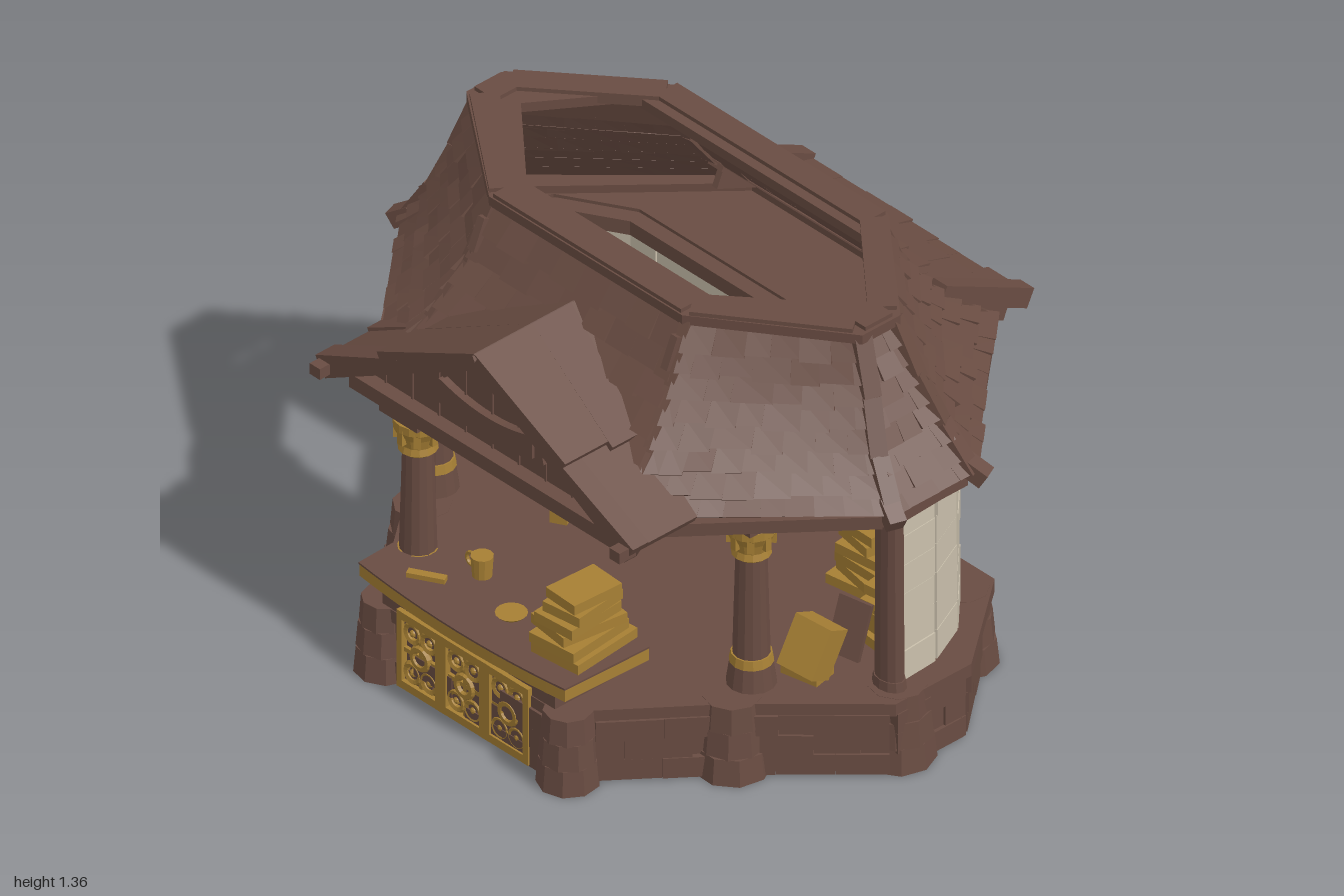
import * as THREE from 'three';
import { mergeGeometries } from 'three/addons/utils/BufferGeometryUtils.js';

const V = (x, y, z) => new THREE.Vector3(x, y, z);
const mat = (name, color) => new THREE.MeshStandardMaterial({ name, color, flatShading: true, side: THREE.DoubleSide });

export function createModel() {
  const root = new THREE.Group();
  root.name = 'shopHouse';
  const brown = mat('brownWood', 0x694c42), stone = mat('paleStone', 0xcac0ac), gold = mat('oldGold', 0xa67f34);
  let seed = 7;
  const rnd = () => (seed = (seed * 16807) % 2147483647) / 2147483647;
  const add = (name, geo, m, x = 0, y = 0, z = 0, parent = root) => {
    const o = new THREE.Mesh(geo, m);
    o.name = name;
    o.position.set(x, y, z);
    parent.add(o);
    return o;
  };
  const box = (name, m, w, h, d, x, y, z, ry = 0, parent = root) => {
    const o = add(name, new THREE.BoxGeometry(w, h, d), m, x, y, z, parent);
    o.rotation.y = ry;
    return o;
  };
  const beam = (name, m, a, b, w, h) => {
    const o = add(name, new THREE.BoxGeometry(w, h, a.distanceTo(b)), m);
    o.position.copy(a).add(b).multiplyScalar(0.5);
    o.lookAt(b);
    return o;
  };
  // Symmetric plan outline from its +x half, listed front to back
  const mirror = half => [...half, ...half.map(([x, z]) => [-x, z]).reverse()];
  const flat = pts => pts.map(([x, z]) => new THREE.Vector2(x, -z));
  const shapeOf = (pts, hole) => {
    const s = new THREE.Shape(flat(pts));
    if (hole) s.holes.push(new THREE.Path(flat(hole)));
    return s;
  };
  const plan = (name, m, shape, y0, y1) => {
    const g = new THREE.ExtrudeGeometry(shape, { depth: y1 - y0, bevelEnabled: false });
    return add(name, g.rotateX(-Math.PI / 2), m, 0, y0, 0);
  };
  // Courses of staggered blocks along a plan path
  const blocks = (name, m, path, y0, y1, rows, len, thick, rough) => {
    const geos = [], h = (y1 - y0) / rows;
    for (let s = 0; s < path.length - 1; s++) {
      const [ax, az] = path[s], [bx, bz] = path[s + 1];
      const L = Math.hypot(bx - ax, bz - az), n = Math.max(1, Math.round(L / len));
      for (let r = 0; r < rows; r++) {
        const cuts = [0];
        for (let k = 1; k <= n; k++) {
          const c = (k - (r % 2 && n > 1 ? 0.5 : 0) + (rnd() - 0.5) * 0.25) / n;
          if (c < 0.97) cuts.push(c);
        }
        cuts.push(1);
        for (let k = 0; k < cuts.length - 1; k++) {
          const u = (cuts[k] + cuts[k + 1]) / 2;
          const g = new THREE.BoxGeometry((cuts[k + 1] - cuts[k]) * L - 0.001, h - 0.001, thick + rnd() * rough);
          g.rotateY(-Math.atan2(bz - az, bx - ax));
          geos.push(g.translate(ax + (bx - ax) * u, y0 + (r + 0.5) * h, az + (bz - az) * u));
        }
      }
    }
    add(name, mergeGeometries(geos), m);
  };

  // Stone platform
  const baseHalf = [[0.3, 0.77], [0.4, 0.7], [0.62, 0.42], [0.92, 0.1], [0.92, -0.16], [0.68, -0.45]];
  const basePlan = mirror(baseHalf);
  plan('platformCore', brown, shapeOf(basePlan), 0, 0.2);
  blocks('platformStones', brown, [...basePlan, basePlan[0]], 0.005, 0.2, 3, 0.16, 0.025, 0.04);
  const lip = shapeOf(basePlan.map(([x, z]) => [x * 1.03, z > 0 ? z * 1.03 : z * 1.09]));
  plan('floorSlab', brown, lip, 0.195, 0.235);
  for (const s of [-1, 1]) {
    for (const [x, z, r] of [[0.36, 0.76, 0.09], [0.61, 0.39, 0.11], [0.875, 0.03, 0.11], [0.67, -0.4, 0.1]]) {
      for (let i = 0; i < 3; i++) {
        const k = r * (1 - i * 0.09) * (0.97 + rnd() * 0.06);
        const p = add('platformPier', new THREE.CylinderGeometry(k * 0.92, k, 0.08, 9), brown, s * x, 0.04 + i * 0.078, z);
        p.rotation.y = rnd();
      }
    }
  }

  // Pale stone wall around the back
  const wallHalf = [[0.85, 0.03], [0.84, -0.11], [0.78, -0.24], [0.69, -0.33], [0.57, -0.37]];
  const wallPath = mirror(wallHalf);
  blocks('wallCore', stone, wallPath, 0.23, 0.8, 1, 2, 0.048, 0);
  blocks('wallBricks', stone, wallPath, 0.235, 0.8, 6, 0.17, 0.056, 0.01);

  // Columns with gold capitals and bands
  const column = (x, z, y0) => {
    const g = new THREE.Group();
    g.name = 'column';
    g.position.set(x, 0, z);
    root.add(g);
    add('shaft', new THREE.CylinderGeometry(0.04, 0.055, 0.8 - y0, 14), brown, 0, (0.8 + y0) / 2, 0, g);
    add('foot', new THREE.CylinderGeometry(0.06, 0.07, 0.07, 14), brown, 0, y0 + 0.035, 0, g);
    add('goldBand', new THREE.CylinderGeometry(0.057, 0.062, 0.028, 14), gold, 0, y0 + 0.085, 0, g);
    const prof = [[0.044, 0.65], [0.056, 0.66], [0.05, 0.68], [0.058, 0.71], [0.07, 0.735], [0.07, 0.76], [0.04, 0.77]];
    add('goldCapital', new THREE.LatheGeometry(prof.map(p => new THREE.Vector2(...p)), 14), gold, 0, 0, 0, g);
    for (let i = 0; i < 8; i++) {
      const a = i * Math.PI / 4;
      box('capitalLeaf', gold, 0.02, 0.05, 0.02, Math.sin(a) * 0.058, 0.72, Math.cos(a) * 0.058, a, g);
    }
    box('capitalBlock', brown, 0.15, 0.05, 0.15, 0, 0.8, 0, 0, g);
  };
  column(-0.65, 0.31, 0.235);
  column(0.6, 0.31, 0.235);
  column(-0.37, 0.63, 0.235);
  for (const s of [-1, 1]) {
    add('wallPost', new THREE.CylinderGeometry(0.045, 0.048, 0.56, 12), brown, s * 0.865, 0.51, 0.05).scale.z = 0.7;
    add('postFoot', new THREE.CylinderGeometry(0.052, 0.056, 0.03, 12), brown, s * 0.865, 0.25, 0.05).scale.z = 0.7;
  }

  // Lintel ring over the columns, eave ring above it and the soffit between
  const ring = (name, half, y, w, h) => {
    const p = mirror(half);
    p.forEach(([x, z], i) => {
      const [X, Z] = p[(i + 1) % p.length];
      beam(name, brown, V(x, y, z), V(X, y, Z), w, h);
    });
  };
  const lintel = [[0.37, 0.63], [0.62, 0.33], [0.87, 0.06], [0.86, -0.12], [0.79, -0.26], [0.58, -0.38]];
  const eave = [[0.46, 0.69], [0.92, 0.13], [0.92, -0.16], [0.45, -0.69]];
  ring('lintel', lintel, 0.81, 0.09, 0.045);
  ring('eaveBeam', eave, 0.85, 0.06, 0.04);
  plan('soffit', brown, shapeOf(mirror([...eave, [0.42, -0.79]]), mirror(lintel)), 0.835, 0.845);

  // Shingled panel between two edge lines that run from top to eave
  const at = (P, t) => {
    const f = Math.min(t, 1) * (P.length - 1), i = Math.min(Math.floor(f), P.length - 2);
    return P[i].clone().lerp(P[i + 1], f - i);
  };
  const panel = (name, P, Q, rows, tileW) => {
    const pos = [], quad = (a, b, c, d) => [a, b, c, a, c, d].forEach(p => pos.push(p.x, p.y, p.z));
    for (let r = 0; r < rows; r++) {
      const t0 = r / rows, t1 = (r + 1) / rows;
      const n = Math.max(1, Math.round(at(P, t1).distanceTo(at(Q, t1)) / tileW));
      const cuts = [0];
      for (let k = 1; k <= n; k++) {
        const c = (k - (r % 2 && n > 1 ? 0.5 : 0) + (rnd() - 0.5) * 0.3) / n;
        if (c < 0.96) cuts.push(c);
      }
      cuts.push(1);
      for (let k = 0; k < cuts.length - 1; k++) {
        const low = Math.min(1, t1 + (0.05 + rnd() * 0.25) / rows);
        const pt = (u, t) => at(P, t).lerp(at(Q, t), u);
        const c = [pt(cuts[k], t0), pt(cuts[k + 1], t0), pt(cuts[k + 1], low), pt(cuts[k], low)];
        const nrm = c[2].clone().sub(c[0]).cross(c[3].clone().sub(c[1])).normalize();
        if (nrm.y < 0) nrm.negate();
        const h = 0.018 + rnd() * 0.014;
        const T = c.map((p, i) => p.clone().addScaledVector(nrm, i < 2 ? 0.004 : h));
        quad(...T);
        quad(...c);
        for (let i = 0; i < 4; i++) quad(c[i], c[(i + 1) % 4], T[(i + 1) % 4], T[i]);
      }
    }
    const g = new THREE.BufferGeometry();
    g.setAttribute('position', new THREE.Float32BufferAttribute(pos, 3));
    g.computeVertexNormals();
    add(name, g, brown);
  };
  const line = (s, pts) => pts.map(([x, y, z]) => V(s * x, y, z));
  const frontHip = [[0.38, 1.32, 0.34], [0.4, 1.15, 0.42], [0.43, 1.0, 0.53], [0.47, 0.87, 0.67]];
  const sideF = [[0.75, 1.32, 0.05], [0.81, 1.16, 0.07], [0.87, 1.01, 0.1], [0.955, 0.87, 0.125]];
  const sideB = sideF.map(([x, y, z]) => [x, y, -z * 1.3]);
  const backHip = [[0.4, 1.32, -0.35], [0.42, 1.16, -0.41], [0.44, 1.02, -0.52], [0.45, 0.86, -0.71]];
  const shed = [[0.4, 1.32, -0.35], [0.42, 1.16, -0.41], [0.43, 1.03, -0.5], [0.43, 0.96, -0.63], [0.43, 0.85, -0.84]];
  panel('frontRoof', line(-1, frontHip), line(1, frontHip), 7, 0.1);
  panel('backRoof', line(-1, shed), line(1, shed), 8, 0.1);
  const cap = (pts, w, h) => {
    for (let i = 0; i < pts.length - 1; i++) beam('hipCap', brown, pts[i], pts[i + 1], w, h);
  };
  for (const s of [-1, 1]) {
    panel('frontHipRoof', line(s, frontHip), line(s, sideF), 8, 0.085);
    panel('sideRoof', line(s, sideF), line(s, sideB), 8, 0.085);
    panel('backHipRoof', line(s, sideB), line(s, backHip), 8, 0.085);
    for (const p of [sideF, sideB]) cap(line(s, p), 0.05, 0.05);
    for (const p of [frontHip, backHip]) cap(line(s, p), 0.03, 0.03);
    beam('shedEdge', brown, V(s * 0.43, 1.02, -0.53), V(s * 0.43, 0.86, -0.85), 0.055, 0.06);
    beam('shedCheek', brown, V(s * 0.43, 0.96, -0.53), V(s * 0.43, 0.85, -0.78), 0.02, 0.07);
    beam('eaveTip', brown, V(s * 0.93, 0.9, -0.16), V(s * 0.99, 0.86, -0.19), 0.05, 0.05);
    beam('eaveTip', brown, V(s * 0.93, 0.9, 0.12), V(s * 0.99, 0.86, 0.14), 0.05, 0.05);
    box('roofPeg', brown, 0.025, 0.1, 0.03, s * 0.38, 1.24, 0.395).rotation.x = -0.4;
  }
  box('shedBeam', brown, 0.84, 0.035, 0.05, 0, 0.85, -0.765);

  // Open rim at the top of the roof
  const rim = mirror([[0.38, 0.36], [0.78, 0.07], [0.78, -0.07], [0.41, -0.37]]);
  plan('roofRim', brown, shapeOf(rim, mirror([[0.36, 0.24], [0.64, 0], [0.47, -0.25]])), 1.315, 1.345);
  ring('rimCap', [[0.37, 0.315], [0.73, 0.05], [0.73, -0.05], [0.41, -0.32]], 1.34, 0.08, 0.035);

  // Front gable
  const tri = new THREE.Shape([[-0.56, 0.87], [0.56, 0.87], [0, 1.19]].map(p => new THREE.Vector2(...p)));
  add('gableWall', new THREE.ExtrudeGeometry(tri, { depth: 0.03, bevelEnabled: false }), brown, 0, 0, 0.67);
  box('gableTie', brown, 1.04, 0.045, 0.09, 0, 0.855, 0.7);
  const gableFront = [[0, 1.215, 0.77], [0.305, 1.04, 0.77], [0.61, 0.868, 0.77]];
  const gableBack = [[0, 1.215, 0.39], [0.305, 1.04, 0.48], [0.61, 0.868, 0.53]];
  for (const s of [-1, 1]) {
    panel('gableRoof', line(s, gableFront), line(s, gableBack), 2, 0.13);
    beam('gableBoard', brown, V(0, 1.19, 0.745), V(s * 0.6, 0.855, 0.745), 0.045, 0.045);
    box('gableEnd', brown, 0.04, 0.035, 0.06, s * 0.59, 0.875, 0.775);
    box('bannerTail', brown, 0.035, 0.075, 0.02, s * 0.19, 0.97, 0.705).rotation.z = s * 0.2;
  }
  for (let i = -4; i <= 4; i++) box('gablePlank', brown, 0.006, 0.29 - Math.abs(i) * 0.06, 0.006, i * 0.105, 1.015 - Math.abs(i) * 0.03, 0.702);
  const ribbon = new THREE.Shape();
  ribbon.moveTo(-0.18, 1.02).quadraticCurveTo(0, 0.96, 0.18, 1.02).lineTo(0.18, 0.945).quadraticCurveTo(0, 0.885, -0.18, 0.945);
  add('banner', new THREE.ExtrudeGeometry(ribbon, { depth: 0.025, bevelEnabled: false }), brown, 0, 0, 0.7);

  // Counter with a gold edge
  const top = k => {
    const s = new THREE.Shape();
    s.moveTo(-0.43 * k, -0.5).lineTo(0.4 * k, -0.5).lineTo(0.39 * k, -0.8 * k);
    s.quadraticCurveTo(0, -0.85 * k, -0.42 * k, -0.8 * k);
    return s;
  };
  box('counterBody', brown, 0.68, 0.06, 0.28, 0, 0.262, 0.65);
  plan('counterEdge', gold, top(1), 0.29, 0.328);
  plan('counterTop', brown, top(1.002), 0.328, 0.334);

  // Three gold grilles under the counter
  box('grilleBack', brown, 0.54, 0.25, 0.04, -0.01, 0.135, 0.765);
  for (let i = -1; i <= 1; i++) {
    const x = -0.01 + i * 0.173;
    for (const s of [-1, 1]) {
      box('grilleRail', gold, 0.17, 0.025, 0.03, x, 0.135 + s * 0.112, 0.79);
      box('grilleStile', gold, 0.02, 0.25, 0.03, x + s * 0.076, 0.135, 0.79);
      for (const t of [-1, 1]) {
        add('grilleScroll', new THREE.TorusGeometry(0.028, 0.01, 5, 14), gold, x + s * 0.033, 0.135 + t * 0.065, 0.79);
        add('scrollBud', new THREE.SphereGeometry(0.012, 8, 6), gold, x + s * 0.033, 0.135 + t * 0.065, 0.79);
      }
    }
    add('grilleRosette', new THREE.TorusGeometry(0.03, 0.012, 6, 16), gold, x, 0.135, 0.793);
    box('grilleBar', gold, 0.014, 0.22, 0.015, x, 0.135, 0.788);
    box('grilleBar', gold, 0.15, 0.014, 0.015, x, 0.135, 0.788);
  }

  // Round door in the back wall
  const disc = new THREE.CylinderGeometry(0.215, 0.215, 0.03, 32).rotateX(Math.PI / 2);
  add('roundDoor', disc, brown, 0.03, 0.49, -0.325);
  add('doorFrame', new THREE.TorusGeometry(0.215, 0.022, 6, 32), brown, 0.03, 0.49, -0.315);
  for (let i = -2; i <= 2; i++) box('doorPlank', brown, 0.006, 0.38 - Math.abs(i) * 0.05, 0.006, 0.03 + i * 0.07, 0.49, -0.308);
  add('doorRing', new THREE.TorusGeometry(0.062, 0.022, 8, 24), gold, 0.03, 0.47, -0.3);
  box('wallPicture', brown, 0.09, 0.2, 0.02, 0.51, 0.63, -0.325);

  // Goods: stacks of gold slabs, crates and small items
  const stack = (x, y, z, n, w, d, turn = 0.4) => {
    for (let i = 0; i < n; i++) {
      const k = 1 - i * 0.06;
      box('goldStack', gold, w * k, 0.031, d * k, x + (rnd() - 0.5) * 0.025, y + 0.016 + i * 0.034, z + (rnd() - 0.5) * 0.025, (rnd() - 0.5) * turn);
    }
  };
  stack(0.27, 0.334, 0.63, 6, 0.17, 0.24);
  stack(-0.57, 0.235, -0.25, 3, 0.18, 0.1);
  stack(-0.58, 0.38, -0.25, 4, 0.2, 0.1);
  box('chestPost', brown, 0.08, 0.06, 0.08, -0.58, 0.36, -0.25);
  stack(0.49, 0.235, -0.22, 6, 0.18, 0.12);
  stack(0.7, 0.235, -0.1, 5, 0.14, 0.13);
  const crate = box('goldCrate', gold, 0.12, 0.15, 0.09, 0.7, 0.335, 0.18, 0.2);
  crate.rotation.x = -0.5;
  box('crateFoot', gold, 0.12, 0.025, 0.08, 0.68, 0.25, 0.18, 0.2);
  box('leaningBoard', brown, 0.1, 0.17, 0.015, 0.72, 0.35, 0.06, 0.3).rotation.x = -0.3;
  add('mug', new THREE.CylinderGeometry(0.032, 0.028, 0.065, 12), gold, -0.15, 0.367, 0.6);
  add('mugHandle', new THREE.TorusGeometry(0.02, 0.006, 6, 12), gold, -0.19, 0.367, 0.6);
  add('plate', new THREE.CylinderGeometry(0.045, 0.035, 0.01, 16), gold, 0.04, 0.339, 0.67);
  box('scroll', gold, 0.11, 0.015, 0.025, -0.24, 0.342, 0.72, 0.5);
  box('floorParcel', gold, 0.07, 0.12, 0.05, -0.555, 0.09, 0.53, -0.6);
  box('floorTool', gold, 0.05, 0.06, 0.05, -0.3, 0.265, 0.17, 0.5);
  return root;
}
